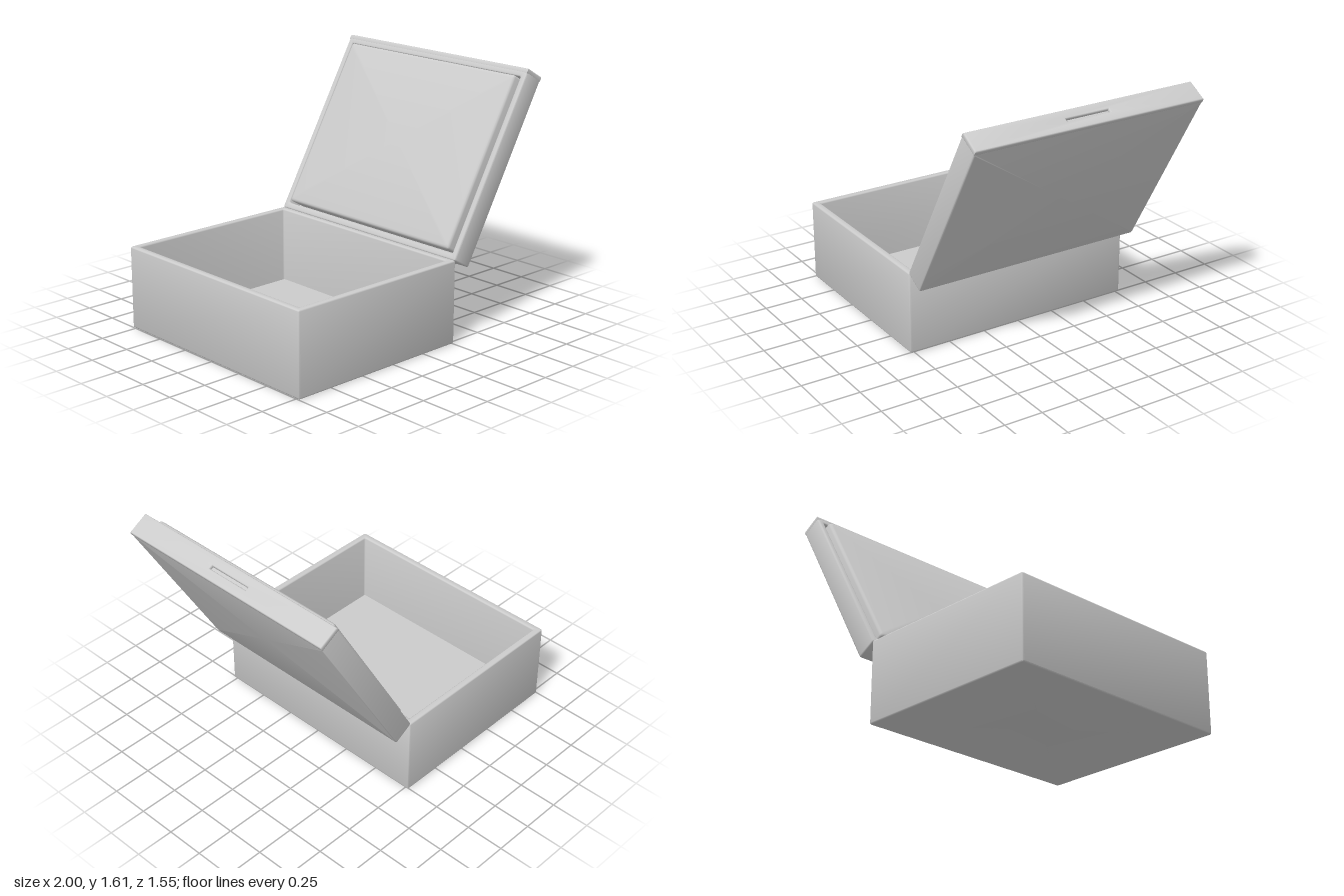
import * as THREE from 'three';
import { toCreasedNormals } from 'three/addons/utils/BufferGeometryUtils.js';

const material = new THREE.MeshStandardMaterial({ color: 0xcccccc });

// Quarter-round profile points [inset, y] around a centre, angles in degrees
function arc(inset, y, r, from, to) {
  return [0, 1, 2, 3].map((i) => {
    const t = THREE.MathUtils.degToRad(from + ((to - from) * i) / 3);
    return [inset - r * Math.cos(t), y + r * Math.sin(t)];
  });
}

// Sweeps a profile of [inset, y] round a rectangle with soft corners;
// the first and last sections are closed with a flat face
function rectSweep(width, depth, profile, r) {
  const positions = [], index = [], corner = 4, n = corner * 4;
  for (const [inset, y] of profile) {
    for (let q = 0; q < 4; q++) {
      const sx = q === 0 || q === 3 ? 1 : -1, sz = q < 2 ? 1 : -1;
      for (let i = 0; i < corner; i++) {
        const t = ((q + i / (corner - 1)) * Math.PI) / 2;
        positions.push(
          sx * (width / 2 - inset - r) + r * Math.cos(t), y,
          sz * (depth / 2 - inset - r) + r * Math.sin(t));
      }
    }
  }
  const last = profile.length - 1, bottom = (last + 1) * n, top = bottom + 1;
  positions.push(0, profile[0][1], 0, 0, profile[last][1], 0);
  for (let i = 0; i < n; i++) {
    const j = (i + 1) % n;
    for (let k = 0; k < last; k++) {
      const a = k * n + i, b = k * n + j;
      index.push(a, a + n, b, b, a + n, b + n);
    }
    index.push(bottom, i, j, top, last * n + j, last * n + i);
  }
  const geometry = new THREE.BufferGeometry();
  geometry.setAttribute('position', new THREE.Float32BufferAttribute(positions, 3));
  geometry.setIndex(index);
  return toCreasedNormals(geometry, 0.7);
}

// Open tray with rounded outer edges and rim
function trayGeometry(width, depth, height, wall, floor, r) {
  return rectSweep(width, depth, [
    ...arc(r, r, r, -90, 0),
    ...arc(r, height - r, r, 0, 90),
    ...arc(wall - r, height - r, r, 90, 180),
    [wall, floor],
  ], r);
}

function addMesh(parent, name, geometry, x, y, z = 0) {
  const mesh = new THREE.Mesh(geometry, material);
  mesh.name = name;
  mesh.position.set(x, y, z);
  parent.add(mesh);
  return mesh;
}

export function createModel() {
  const model = new THREE.Group();
  model.name = 'hingedBox';
  const depth = 1.55;

  // Open box
  addMesh(model, 'boxBase', trayGeometry(1.26, depth, 0.53, 0.043, 0.04, 0.01), -0.37, 0);

  // Lid group pivots on the top edge; local y points to the lid's inner side
  const lid = new THREE.Group();
  lid.name = 'lid';
  lid.position.set(0.25, 0.53, 0);
  lid.rotation.z = Math.PI / 3;
  model.add(lid);

  const thick = 0.144, length = 1.25, shell = 1.23;
  addMesh(lid, 'lidShell', trayGeometry(shell, depth, thick, 0.04, 0.044, 0.01), shell / 2, -thick);

  // Raised inner panel with rounded edges, sitting in the shell
  const panel = rectSweep(1.135, 1.425, [
    [0, 0], ...arc(0.02, 0.108, 0.02, 0, 90),
  ], 0.015);
  addMesh(lid, 'lidInnerPanel', panel, 0.62, -0.1);

  // Free end of the lid with the finger slot
  const b = 0.01;
  const rectangle = (path, w, y0, y1) => path
    .moveTo(-w, y0).lineTo(w, y0).lineTo(w, y1).lineTo(-w, y1).closePath();
  const face = rectangle(new THREE.Shape(), depth / 2 - b, -thick + b, -b);
  face.holes.push(rectangle(new THREE.Path(), 0.155, -0.092, -0.052));
  const end = new THREE.ExtrudeGeometry(face, {
    depth: 0.018, bevelThickness: b, bevelSize: b, bevelSegments: 3,
  });
  end.rotateY(Math.PI / 2);
  addMesh(lid, 'lidEndWithSlot', toCreasedNormals(end, 0.7), length - 0.018 - b, 0);

  return model;
}
